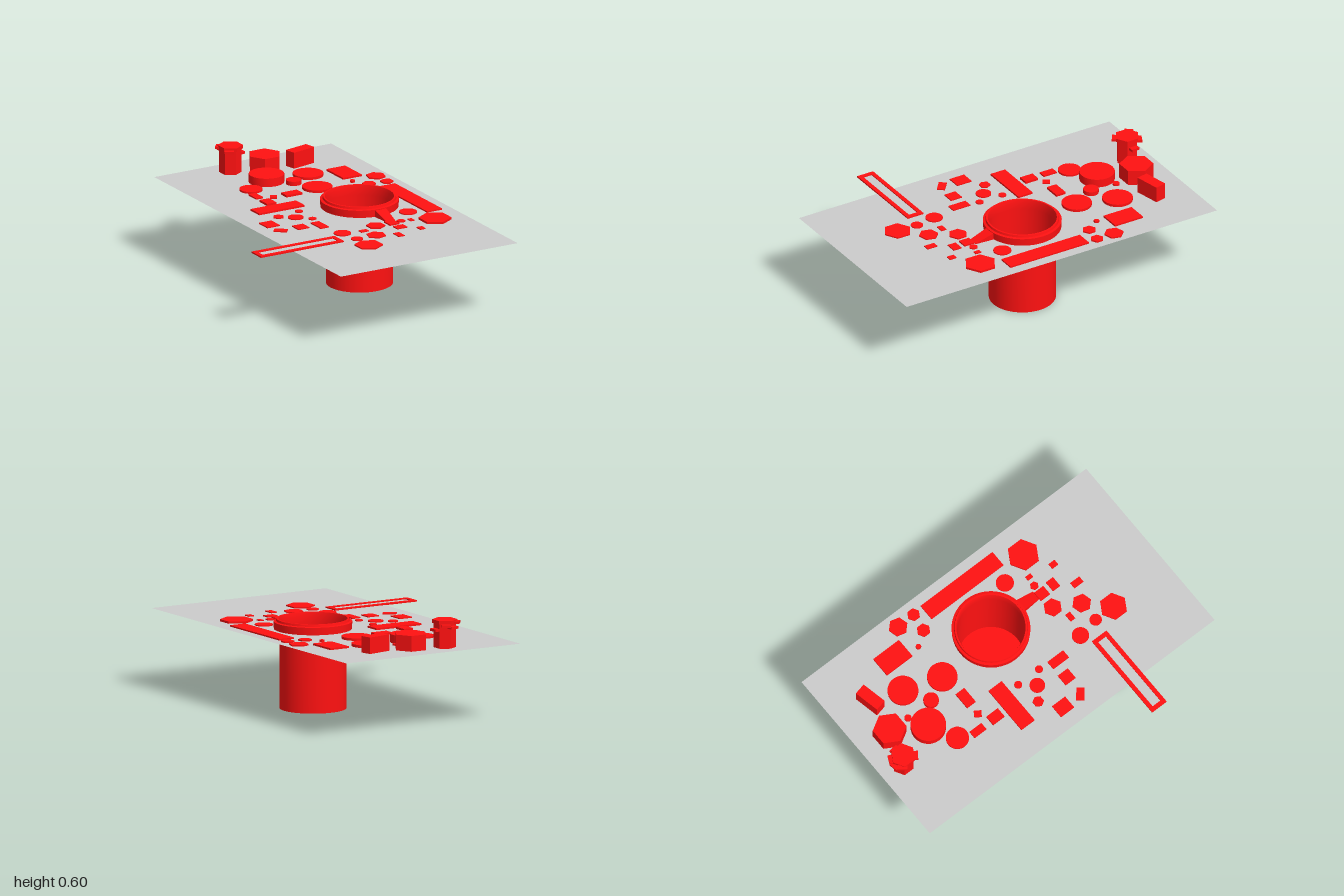
import * as THREE from 'three';
import { toCreasedNormals } from 'three/addons/utils/BufferGeometryUtils.js';

const DECK = 0.442;
const red = new THREE.MeshStandardMaterial({ color: 0xff1111, side: THREE.DoubleSide });
const grey = new THREE.MeshStandardMaterial({ color: 0xcccccc, side: THREE.DoubleSide });

// Footprints are drawn in plan as (x, -z)
function polygon(cx, cz, r, sides, turn = 0) {
  return Array.from({ length: sides }, (_, i) => {
    const a = THREE.MathUtils.degToRad(turn) + (i * 2 * Math.PI) / sides;
    return new THREE.Vector2(cx + r * Math.cos(a), -cz + r * Math.sin(a));
  });
}

function rectangle(cx, cz, w, d, turn = 0) {
  const centre = new THREE.Vector2(cx, -cz);
  return [[-1, -1], [1, -1], [1, 1], [-1, 1]].map(([u, v]) =>
    new THREE.Vector2(cx + (u * w) / 2, -cz + (v * d) / 2).rotateAround(centre, THREE.MathUtils.degToRad(turn)));
}

// Raised prism, hollow and open at the bottom
function openPrism(points, height) {
  const solid = new THREE.ExtrudeGeometry(new THREE.Shape(points), { depth: height, bevelEnabled: false });
  const p = solid.attributes.position.array;
  const kept = [];
  for (let i = 0; i < p.length; i += 9) {
    if (p[i + 2] + p[i + 5] + p[i + 8] > 1e-6) kept.push(...p.slice(i, i + 9));
  }
  const g = new THREE.BufferGeometry();
  g.setAttribute('position', new THREE.Float32BufferAttribute(kept, 3));
  g.rotateX(-Math.PI / 2);
  return toCreasedNormals(g, 0.5);
}

// x, z, width, depth, height, turn
const BLOCKS = [
  [0.34, -0.78, 0.15, 0.067, 0.092, 12], [0.467, -0.52, 0.12, 0.18, 0.01],
  [-0.157, -0.42, 0.045, 0.083, 0.008], [-0.08, -0.36, 0.038, 0.042, 0.008, -33],
  [0.033, -0.355, 0.1, 0.06, 0.012], [-0.154, -0.295, 0.06, 0.08, 0.012],
  [-0.158, -0.185, 0.29, 0.092, 0.01], [-0.34, 0.032, 0.08, 0.092, 0.006],
  [-0.34, 0.153, 0.075, 0.045, 0.006, -40], [-0.215, 0.157, 0.07, 0.07, 0.006],
  [-0.108, 0.183, 0.053, 0.11, 0.006], [0.56, 0.04, 0.097, 0.505, 0.008],
  [0.25, 0.355, 0.06, 0.064, 0.008], [0.255, 0.436, 0.064, 0.05, 0.006],
  [0.048, 0.392, 0.048, 0.032, 0.005], [0.37, 0.36, 0.026, 0.036, 0.005],
  [0.182, 0.545, 0.038, 0.063, 0.005], [0.345, 0.51, 0.034, 0.042, 0.005],
];
// x, z, radius, height
const DISCS = [
  [0.03, -0.62, 0.098, 0.048], [0.282, -0.597, 0.085, 0.015], [-0.12, -0.535, 0.064, 0.01],
  [0.14, -0.513, 0.043, 0.024], [0.14, -0.675, 0.02, 0.01], [0.21, -0.378, 0.084, 0.014],
  [-0.085, -0.08, 0.022, 0.006], [-0.153, 0, 0.043, 0.006], [-0.085, 0.066, 0.022, 0.006],
  [0.426, 0.234, 0.05, 0.006], [-0.073, 0.367, 0.048, 0.006], [-0.053, 0.49, 0.034, 0.005],
];
// x, z, radius, height, turn
const HEXES = [
  [0.132, -0.81, 0.094, 0.088, 0], [0.59, -0.385, 0.055, 0.008, 15], [0.488, -0.288, 0.039, 0.008, 30],
  [0.593, -0.274, 0.037, 0.008, 30], [0.43, -0.37, 0.016, 0.012, 0], [-0.23, -0.055, 0.032, 0.006, 0],
  [0.15, 0.35, 0.053, 0.007, 30], [0.312, 0.35, 0.025, 0.006, 30], [0.07, 0.49, 0.055, 0.006, 15],
  [0.49, 0.415, 0.091, 0.012, 30], [-0.053, 0.615, 0.079, 0.007, 30],
];

export function createModel() {
  const model = new THREE.Group();
  const add = (name, geometry, material = red, parent = model) => {
    const mesh = new THREE.Mesh(geometry, material);
    mesh.name = name;
    parent.add(mesh);
    return mesh;
  };
  const deckShape = new THREE.Shape(rectangle(0.105, 0, 1.13, 2));
  const raise = (name, points, height) => {
    deckShape.holes.push(new THREE.Path(points));
    add(name, openPrism(points, height)).position.y = DECK;
  };

  // Raised details scattered over the deck
  BLOCKS.forEach(([x, z, w, d, h, t]) => raise('block', rectangle(x, z, w, d, t), h));
  DISCS.forEach(([x, z, r, h]) => raise('disc', polygon(x, z, r, 24), h));
  HEXES.forEach(([x, z, r, h, t]) => raise('hexagon', polygon(x, z, r, 6, t), h));

  // Hexagonal tower with fins under its cap
  const tower = new THREE.Group();
  tower.name = 'tower';
  tower.position.set(-0.055, 0, -0.865);
  model.add(tower);
  deckShape.holes.push(new THREE.Path(polygon(-0.055, -0.865, 0.062, 6, 30)));
  add('towerBody', openPrism(polygon(0, 0, 0.062, 6, 30), 0.14), red, tower).position.y = DECK;
  add('towerCap', new THREE.CylinderGeometry(0.07, 0.07, 0.02, 6).toNonIndexed(), red, tower).position.y = 0.588;
  tower.children[1].geometry.computeVertexNormals();
  [[140, 0.584], [235, 0.578], [65, 0.57], [5, 0.545], [100, 0.56]].forEach(([angle, y]) => {
    const fin = new THREE.BoxGeometry(0.035, 0.014, 0.05).translate(0.065, 0, 0);
    fin.rotateY(THREE.MathUtils.degToRad(angle));
    add('towerFin', fin, red, tower).position.y = y;
  });

  // Deep round well with a stepped rim
  deckShape.holes.push(new THREE.Path(polygon(0.255, 0, 0.185, 48)));
  const profile = [[0, 0], [0.185, 0], [0.185, DECK + 0.001], [0.215, DECK + 0.001], [0.217, 0.485],
    [0.203, 0.488], [0.2, 0.5], [0.19, 0.5], [0.185, 0.48], [0.185, DECK + 0.001]];
  const well = new THREE.LatheGeometry(profile.map(([r, y]) => new THREE.Vector2(r, y)), 48);
  add('well', toCreasedNormals(well, 0.4)).position.x = 0.255;

  // Sloping chute from the rim down to the deck
  const chute = new THREE.BoxGeometry(1, 1, 1);
  const p = chute.attributes.position;
  for (let i = 0; i < p.count; i++) {
    const outer = p.getZ(i) > 0;
    const half = outer ? 0.028 : 0.037;
    const top = outer ? 0.446 : 0.486;
    p.setXYZ(i, 0.262 + Math.sign(p.getX(i)) * half, p.getY(i) > 0 ? top : DECK + 0.001, outer ? 0.322 : 0.2);
  }
  chute.computeVertexNormals();
  add('chute', chute);

  // Framed tray overhanging the side of the deck
  const frame = new THREE.Shape(rectangle(-0.405, 0.445, 0.53, 0.102));
  frame.holes.push(new THREE.Path(rectangle(-0.405, 0.445, 0.48, 0.054)));
  const frameGeometry = new THREE.ExtrudeGeometry(frame, { depth: 0.008, bevelEnabled: false });
  add('trayFrame', frameGeometry.rotateX(-Math.PI / 2)).position.y = DECK - 0.001;
  const plate = new THREE.PlaneGeometry(0.48, 0.054).rotateX(-Math.PI / 2);
  add('trayFloor', plate, grey).position.set(-0.405, DECK + 0.002, 0.445);
  add('trayUnderside', plate).position.set(-0.405, DECK - 0.001, 0.445);

  // Flat deck, cut out below every hollow detail
  add('deck', new THREE.ShapeGeometry(deckShape).rotateX(-Math.PI / 2), grey).position.y = DECK;
  return model;
}
